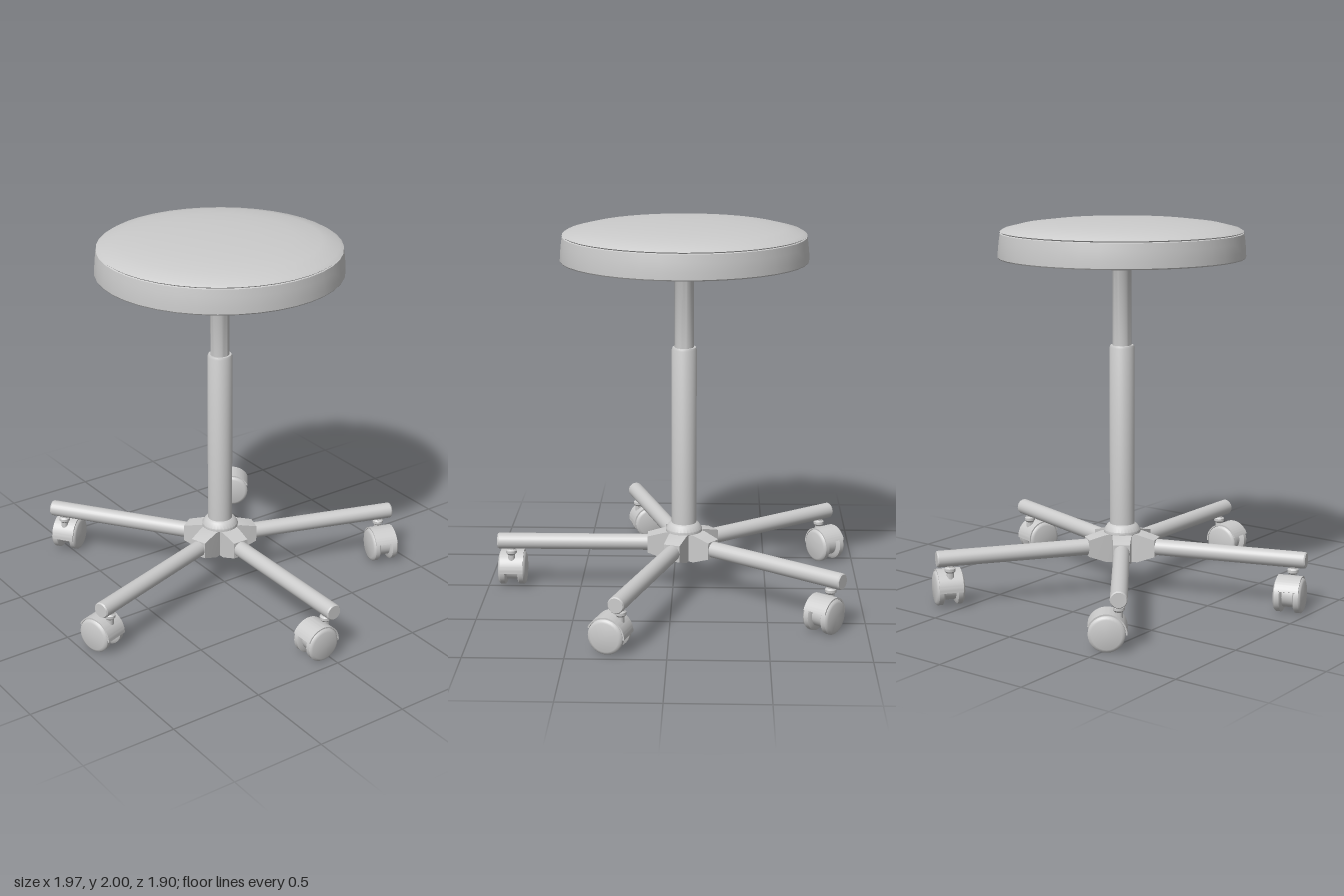
import * as THREE from 'three';
import { toCreasedNormals } from 'three/addons/utils/BufferGeometryUtils.js';

const material = new THREE.MeshStandardMaterial({ color: 0xcccccc });

function add(parent, name, geometry) {
  const mesh = new THREE.Mesh(toCreasedNormals(geometry, 0.6), material);
  mesh.name = name;
  parent.add(mesh);
  return mesh;
}

// Turned part from [radius, height] pairs, listed bottom to top
function turned(points, segments = 32) {
  return new THREE.LatheGeometry(points.map(([r, y]) => new THREE.Vector2(r, y)), segments);
}

// Twin-wheel caster, wheel axle along z, origin on the floor under the axle
function createCaster() {
  const caster = new THREE.Group();
  caster.name = 'caster';
  const axleY = 0.096;

  for (const side of [-1, 1]) {
    const wheel = turned([
      [0, -0.02], [0.078, -0.02], [0.091, -0.012], [0.091, 0.012], [0.085, 0.02], [0.074, 0.024], [0, 0.026],
    ], 28).rotateX(side * Math.PI / 2);
    add(caster, 'wheel', wheel).position.set(0, axleY, side * 0.05);
  }

  // Core between the wheels
  const core = new THREE.CylinderGeometry(0.064, 0.064, 0.08, 24).rotateX(Math.PI / 2);
  add(caster, 'casterCore', core).position.y = axleY;

  // Curved guard over the upper part of the wheels
  const start = -0.05, end = 2.75;
  const guard = new THREE.Shape();
  guard.absarc(0, 0, 0.1, start, end, false);
  guard.absarc(0, 0, 0.0925, end, start, true);
  guard.closePath();
  const hood = new THREE.ExtrudeGeometry(guard, { depth: 0.126, bevelEnabled: false, curveSegments: 20 });
  add(caster, 'hood', hood.translate(0, 0, -0.063)).position.y = axleY;

  // Web joining core and guard
  const web = new THREE.Shape();
  web.moveTo(0, 0);
  web.absarc(0, 0, 0.095, start, end, false);
  web.closePath();
  const webGeometry = new THREE.ExtrudeGeometry(web, { depth: 0.05, bevelEnabled: false, curveSegments: 20 });
  add(caster, 'hoodWeb', webGeometry.translate(0, 0, -0.025)).position.y = axleY;
  return caster;
}

// One leg pointing along +z with its socket, stem and caster
function createLeg() {
  const leg = new THREE.Group();
  leg.name = 'leg';
  const tube = turned([[0, 0.1], [0.043, 0.1], [0.043, 0.997], [0.038, 1.004], [0, 1.004]], 24);
  add(leg, 'legTube', tube.rotateX(Math.PI / 2)).position.y = 0.268;

  // Socket: straight near the hub, then tapering onto the tube
  const socket = new THREE.BoxGeometry(0.1, 0.15, 0.19, 1, 1, 2);
  const p = socket.attributes.position;
  for (let i = 0; i < p.count; i++) {
    if (p.getZ(i) > 0.05) {
      p.setX(i, p.getX(i) * 0.88);
      p.setY(i, p.getY(i) * 0.6 + 0.005);
    }
  }
  add(leg, 'socket', socket).position.set(0, 0.263, 0.1);

  const stem = turned([
    [0, 0.12], [0.02, 0.12], [0.02, 0.19], [0.029, 0.2], [0.029, 0.214], [0.02, 0.222], [0.02, 0.25], [0, 0.25],
  ], 16);
  add(leg, 'casterStem', stem).position.z = 0.933;

  const caster = createCaster();
  caster.position.set(-0.058, 0, 0.933);
  leg.add(caster);
  return leg;
}

export function createModel() {
  const model = new THREE.Group();
  model.name = 'swivelStool';
  const stool = new THREE.Group();
  stool.name = 'stool';
  stool.position.set(0.013, 0, -0.06);
  model.add(stool);

  // Five-star base
  for (let i = 0; i < 5; i++) {
    const leg = createLeg();
    leg.rotation.y = i * Math.PI * 2 / 5;
    stool.add(leg);
  }
  add(stool, 'hub', turned([
    [0.035, 0.21], [0.035, 0.186], [0.08, 0.186], [0.085, 0.19], [0.085, 0.33], [0.097, 0.338],
    [0.097, 0.352], [0.08, 0.378], [0.066, 0.385],
  ]));
  add(stool, 'hubBottom', turned([[0, 0.205], [0.05, 0.205], [0.05, 0.22], [0, 0.22]]));

  // Telescopic column
  add(stool, 'outerColumn', turned([
    [0.066, 0.33], [0.066, 1.33], [0.061, 1.342], [0.04, 1.342],
  ]));
  add(stool, 'innerColumn', turned([
    [0.05, 1.33], [0.05, 1.755], [0.059, 1.772], [0.059, 1.79],
  ]));
  add(stool, 'mountingPlate', turned([
    [0, 1.785], [0.135, 1.785], [0.135, 1.805], [0, 1.805],
  ]));

  // Padded seat with a seam under the domed top
  add(stool, 'seatSide', turned([
    [0, 1.8], [0.638, 1.8], [0.642, 1.806], [0.641, 1.84], [0.636, 1.89], [0.63, 1.928], [0.622, 1.932], [0, 1.932],
  ], 40));
  add(stool, 'seatTop', turned([
    [0.622, 1.93], [0.63, 1.937], [0.61, 1.949], [0.52, 1.971], [0.38, 1.988], [0.2, 1.998], [0, 2],
  ], 40));
  return model;
}
